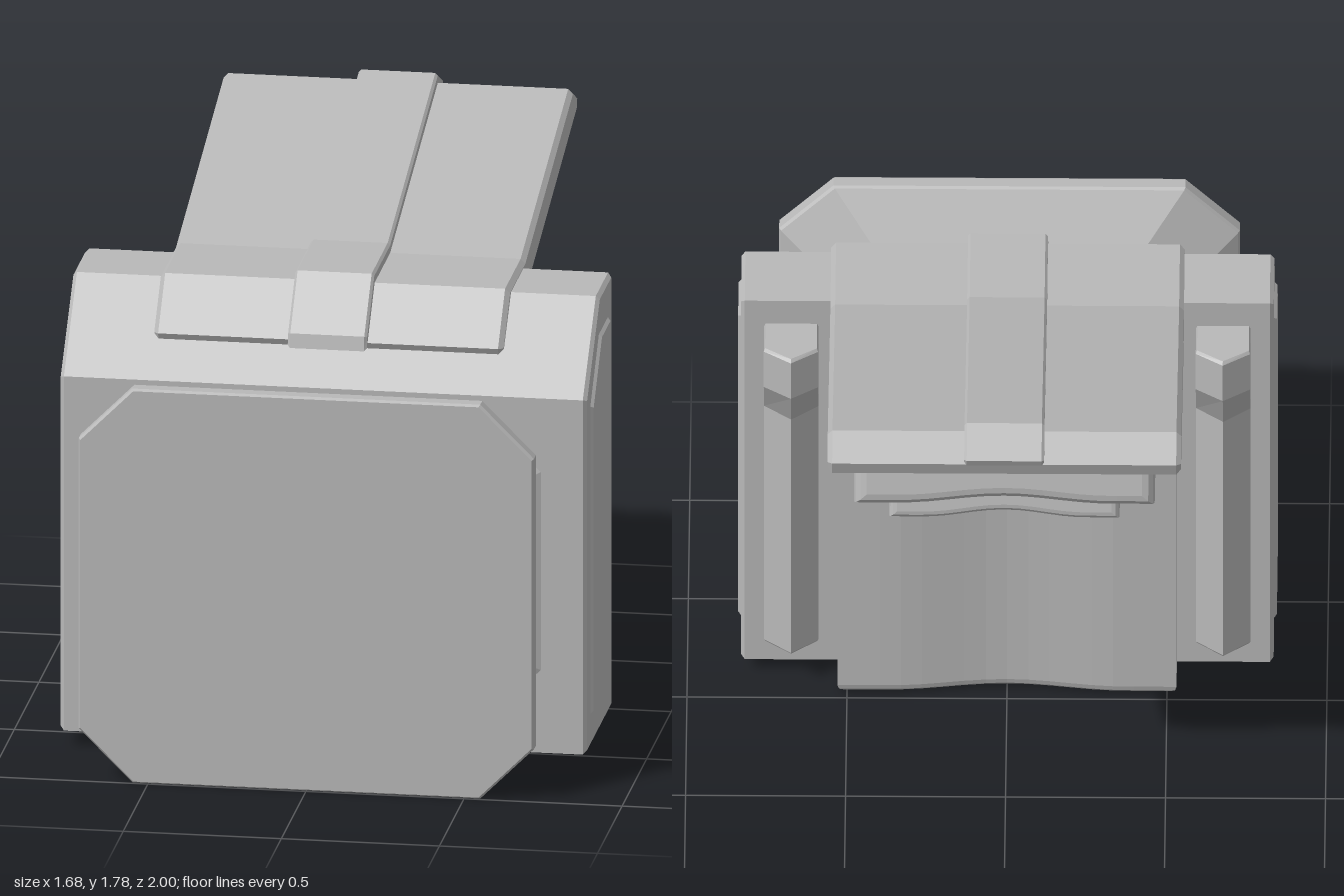
import * as THREE from 'three';

const grey = new THREE.MeshStandardMaterial({ color: 0xb8b8b8 });
grey.name = 'grey';

function add(parent, name, geometry) {
  const mesh = new THREE.Mesh(geometry, grey);
  mesh.name = name;
  parent.add(mesh);
  return mesh;
}

const toShape = (pts) => new THREE.Shape(pts.map(([a, b]) => new THREE.Vector2(a, b)));

// Bevelled extrusion of an outline, total depth kept, centred on local z
function bevelled(shape, depth, bevel, segments = 1) {
  const g = new THREE.ExtrudeGeometry(shape, {
    depth: depth - 2 * bevel, bevelEnabled: true, bevelThickness: bevel,
    bevelSize: bevel, bevelOffset: -bevel, bevelSegments: segments,
  });
  return g.translate(0, 0, bevel - depth / 2);
}

// Side profile of [z, y] points, extruded across x
function across(pts, width, bevel) {
  return bevelled(toShape(pts), width, bevel).rotateY(-Math.PI / 2);
}

// Flat-faced skin through convex rings of [x, y, z], with end caps
function loft(rings) {
  const pos = [];
  const tri = (a, b, c) => pos.push(...a, ...b, ...c);
  const n = rings[0].length;
  for (let r = 0; r < rings.length - 1; r++) {
    const a = rings[r], b = rings[r + 1];
    for (let i = 0; i < n; i++) {
      const j = (i + 1) % n;
      tri(a[i], a[j], b[j]);
      tri(a[i], b[j], b[i]);
    }
  }
  const first = rings[0], last = rings[rings.length - 1];
  for (let i = 1; i < n - 1; i++) {
    tri(first[0], first[i + 1], first[i]);
    tri(last[0], last[i], last[i + 1]);
  }
  const g = new THREE.BufferGeometry();
  g.setAttribute('position', new THREE.Float32BufferAttribute(pos, 3));
  g.computeVertexNormals();
  return g;
}

// Rectangle with cut corners, centred on the mounting axis
function octagon(hx, hy, cut, z) {
  return [
    [hx, -hy + cut], [hx, hy - cut], [hx - cut, hy], [-hx + cut, hy],
    [-hx, hy - cut], [-hx, -hy + cut], [-hx + cut, -hy], [hx - cut, -hy],
  ].map(([x, y]) => [x, y + 0.655, z]);
}

// Cushion outline: flat at b = back, gently hollowed along b = face
function cushion(half, back, face, hollow) {
  const pts = [[-half, back]];
  const dir = Math.sign(back - face);
  for (let i = 0; i <= 16; i++) {
    const u = -1 + i / 8;
    const dip = Math.abs(u) < 0.7 ? (1 + Math.cos((u / 0.7) * Math.PI)) / 2 : 0;
    pts.push([u * half, face + dir * hollow * dip]);
  }
  pts.push([half, back]);
  return toShape(pts);
}

export function createModel() {
  const model = new THREE.Group();
  model.name = 'model';

  // Main housing with a sloped front top, and slightly raised cheeks
  add(model, 'housing', across(
    [[0.13, 0.06], [0.645, 0.06], [0.645, 1.22], [0.38, 1.48], [0.13, 1.48]], 1.665, 0.012));
  add(model, 'sidePanels', across(
    [[0.2, 0.16], [0.58, 0.16], [0.58, 1.18], [0.4, 1.37], [0.2, 1.37]], 1.684, 0.02));

  // Front mount and the floating shield
  add(model, 'frontMount', loft([octagon(0.7, 0.49, 0.16, 0.64), octagon(0.48, 0.335, 0.11, 0.73)]));
  add(model, 'shield', loft([
    octagon(0.49, 0.415, 0.12, 0.8), octagon(0.714, 0.64, 0.168, 0.94),
    octagon(0.72, 0.645, 0.17, 0.95), octagon(0.72, 0.645, 0.17, 0.99),
    octagon(0.714, 0.639, 0.168, 1.0),
  ]));
  for (const [name, z] of [['mountDisc', 0.735], ['shieldDisc', 0.795]]) {
    add(model, name, new THREE.CylinderGeometry(0.247, 0.247, 0.03, 48).rotateX(Math.PI / 2))
      .position.set(0, 0.655, z);
  }

  // Roof slab that wraps the housing and rises to the back
  add(model, 'roof', across([
    [0.54, 1.325], [0.55, 1.345], [0.405, 1.498], [0.09, 1.498], [-0.88, 1.755],
    [-0.985, 1.705], [-0.97, 1.657], [-0.05, 1.41], [0.1, 1.39], [0.36, 1.39], [0.44, 1.325],
  ], 1.105, 0.015));
  add(model, 'roofBand', across([
    [0.55, 1.325], [0.575, 1.325], [0.565, 1.37], [0.415, 1.53], [0.09, 1.53], [-0.88, 1.787],
    [-1.0, 1.73], [-0.99, 1.705], [-0.88, 1.735], [0.09, 1.475], [0.4, 1.475], [0.5, 1.36],
  ], 0.25, 0.008));

  // Padding under the roof, in a frame tilted with the slab
  const padding = new THREE.Group();
  padding.name = 'roofPadding';
  padding.position.set(0, 1.41, -0.05);
  padding.rotation.x = 0.26;
  model.add(padding);
  const pads = [
    ['roofCushion', 0.47, 0.04, -0.125, -0.01, 0.92, 0.04],
    ['frontPad', 0.36, -0.05, -0.19, -0.02, 0.225, 0.025],
    ['rearPad', 0.36, -0.05, -0.187, 0.635, 0.872, 0.025],
  ];
  for (const [name, half, top, face, start, end, bevel] of pads) {
    add(padding, name, bevelled(cushion(half, top, face, 0.025), end - start, bevel, 3))
      .position.z = -(start + end) / 2;
  }

  // Back cushion, reaching under the housing
  add(model, 'backCushion',
    bevelled(cushion(0.53, 0.505, 0.02, 0.035), 1.31, 0.035, 3).rotateX(Math.PI / 2))
    .position.y = 0.665;

  // Ridged rails on the back and sockets on the underside
  const railSection = (x, y, shoulder, ridge, s = 1) => [
    [x - 0.085 * s, y, 0.14], [x + 0.085 * s, y, 0.14], [x + 0.085 * s, y, shoulder],
    [x, y, ridge], [x - 0.085 * s, y, shoulder],
  ];
  const ringShape = toShape([[-0.075, -0.055], [0.075, -0.055], [0.075, 0.055], [-0.075, 0.055]]);
  ringShape.holes.push(new THREE.Path(
    [[-0.05, -0.032], [-0.05, 0.032], [0.05, 0.032], [0.05, -0.032]]
      .map(([a, b]) => new THREE.Vector2(a, b))));
  for (const [side, sx] of [['left', 1], ['right', -1]]) {
    const x = 0.675 * sx;
    add(model, side + 'Rail', loft([
      railSection(x, 0.145, 0.115, 0.05, 0.95), railSection(x, 0.155, 0.11, 0.04),
      railSection(x, 1.08, 0.11, 0.04), railSection(x, 1.24, 0.0, -0.06),
      railSection(x, 1.38, 0.0, -0.06), railSection(x, 1.39, 0.005, -0.05, 0.95),
    ]));
    add(model, side + 'SocketRim', new THREE.ExtrudeGeometry(ringShape, { depth: 0.01, bevelEnabled: false })
      .rotateX(Math.PI / 2)).position.set(x, 0.062, 0.36);
    add(model, side + 'SocketPin', new THREE.BoxGeometry(0.05, 0.012, 0.03)).position.set(x, 0.058, 0.36);
  }

  return model;
}
